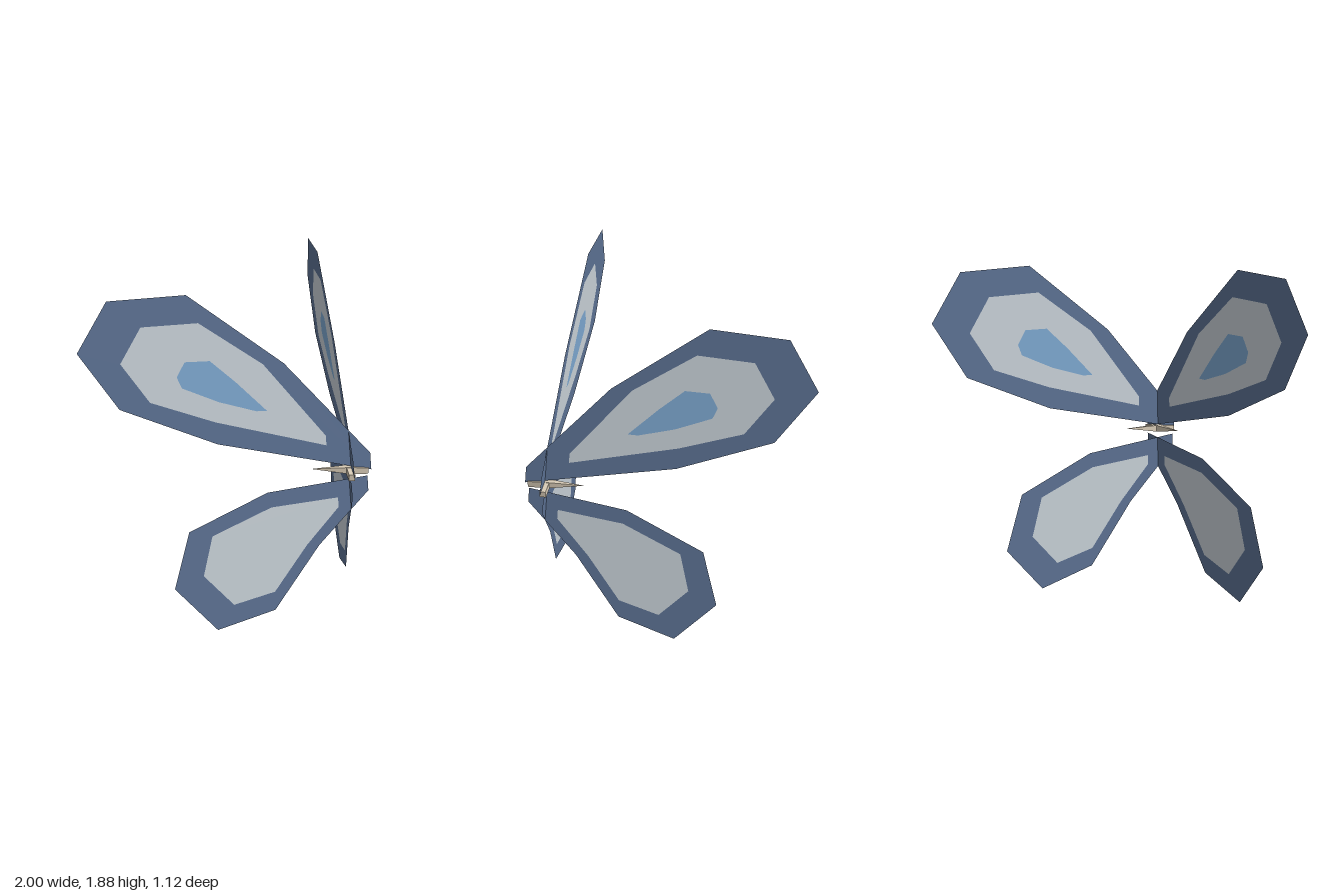
import * as THREE from 'three';

const mat = (name, color) => new THREE.MeshStandardMaterial({ name, color, side: THREE.DoubleSide, flatShading: true });

// Each wing: nested outlines (rim, panel, spot) on a tilted plane z = a + b*x + c*y
const UPPER = {
  name: 'upperWing',
  plane: [0.57, -0.97, -0.1],
  rings: [
    [[-0.08, 0.98], [0.23, 1.5], [0.575, 1.885], [0.87, 1.868], [1, 1.6], [0.867, 1.29], [0.51, 1.073], [-0.08, 0.885]],
    [[0.09, 1.035], [0.09, 1.09], [0.31, 1.5], [0.54, 1.735], [0.755, 1.725], [0.845, 1.535], [0.75, 1.32], [0.51, 1.195]],
    [[0.31, 1.245], [0.42, 1.41], [0.51, 1.53], [0.605, 1.53], [0.64, 1.45], [0.625, 1.39], [0.49, 1.305], [0.35, 1.245]],
  ],
};
const LOWER = {
  name: 'lowerWing',
  plane: [0.552, -0.94, -0.1],
  rings: [
    [[-0.075, 0.845], [0.33, 0.783], [0.655, 0.585], [0.735, 0.26], [0.58, 0], [0.34, 0.095], [0.14, 0.46], [-0.075, 0.76]],
    [[0.05, 0.73], [0.32, 0.697], [0.565, 0.553], [0.615, 0.325], [0.505, 0.143], [0.335, 0.203], [0.19, 0.465], [0.05, 0.675]],
  ],
};

export function createModel() {
  const model = new THREE.Group();
  const wingMats = [mat('slateBlue', 0x607699), mat('paleGrey', 0xd0d9e0), mat('skyBlue', 0x82aed8)];
  const beige = mat('beige', 0xd8cbb6);
  const zones = ['Rim', 'Panel', 'Spot'];

  function addWing({ name, plane: [a, b, c], rings }, side) {
    const wing = new THREE.Group();
    wing.name = (side > 0 ? 'left ' : 'right ') + name;
    const loops = rings.map(r => r.map(([x, y]) => new THREE.Vector2(x * side, y)));
    loops.forEach((loop, i) => {
      const shape = new THREE.Shape(loop);
      if (loops[i + 1]) shape.holes.push(new THREE.Path(loops[i + 1]));
      const geo = new THREE.ShapeGeometry(shape);
      // lay the flat shape on the swept-back plane
      const p = geo.attributes.position;
      for (let k = 0; k < p.count; k++) p.setZ(k, a + b * p.getX(k) * side + c * p.getY(k));
      geo.computeVertexNormals();
      const mesh = new THREE.Mesh(geo, wingMats[i]);
      mesh.name = name + zones[i];
      wing.add(mesh);
    });
    model.add(wing);
  }

  // Small four-sided spike running along the wing root
  function addSpike(side) {
    const base = new THREE.Vector3(-0.075 * side, 0.88, 0.54);
    const dir = new THREE.Vector3(0.155 * side, 0.905, 0.325).sub(base);
    const len = dir.length();
    const profile = [[0, 0], [0.024, 0], [0.027, 0.11], [0, len]].map(([r, y]) => new THREE.Vector2(r, y));
    const spike = new THREE.Mesh(new THREE.LatheGeometry(profile, 4), beige);
    spike.name = side > 0 ? 'left spike' : 'right spike';
    spike.position.copy(base);
    spike.quaternion.setFromUnitVectors(new THREE.Vector3(0, 1, 0), dir.normalize());
    model.add(spike);
  }

  for (const side of [1, -1]) {
    addWing(UPPER, side);
    addWing(LOWER, side);
    addSpike(side);
  }
  return model;
}
